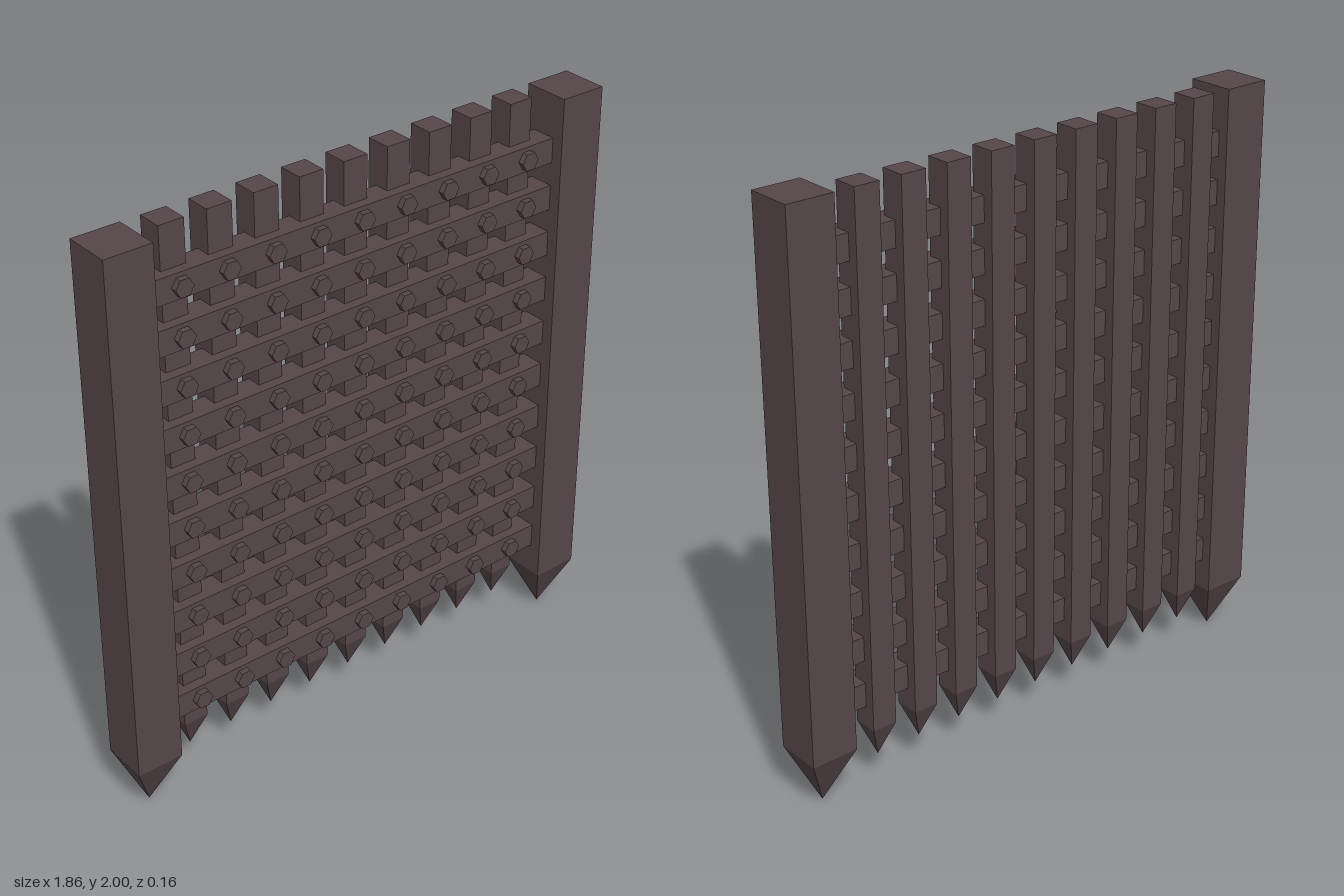
import * as THREE from 'three';

const wood = new THREE.MeshStandardMaterial({ color: 0x564749 });
wood.name = 'dark wood';

// Gives every face its own flat normal
function faceted(geometry) {
  const flat = geometry.toNonIndexed();
  flat.computeVertexNormals();
  return flat;
}

// Square upright with a pyramid point at its lower end
function makeStake(name, width, top, shoulder, tip) {
  const stake = new THREE.Group();
  stake.name = name;
  const shaft = new THREE.Mesh(new THREE.BoxGeometry(width, top - shoulder, width), wood);
  shaft.name = name + 'Shaft';
  shaft.position.y = (top + shoulder) / 2;
  const point = new THREE.CylinderGeometry(width / Math.SQRT2, 0, shoulder - tip, 4, 1, true);
  point.rotateY(Math.PI / 4);
  const spike = new THREE.Mesh(faceted(point), wood);
  spike.name = name + 'Point';
  spike.position.y = (shoulder + tip) / 2;
  stake.add(shaft, spike);
  return stake;
}

export function createModel() {
  const gate = new THREE.Group();
  gate.name = 'spikedGate';
  const columns = 9, rows = 10, pitch = 0.1635;

  // Heavy side posts
  for (const side of [-1, 1]) {
    const post = makeStake(side > 0 ? 'leftPost' : 'rightPost', 0.163, 2, 0.19, 0);
    post.position.x = side * 0.846;
    gate.add(post);
  }

  // Upright bars, set towards the back
  for (let i = 0; i < columns; i++) {
    const bar = makeStake('uprightBar', 0.087, 2, 0.226, 0.106);
    bar.position.set((i - (columns - 1) / 2) * pitch, 0, -0.038);
    gate.add(bar);
  }

  // Hexagonal bolt with flat sides above and below
  const boltGeometry = new THREE.CylinderGeometry(0.032, 0.032, 0.03, 6);
  boltGeometry.rotateY(Math.PI / 6).rotateX(Math.PI / 2);
  const bolt = faceted(boltGeometry);

  // Cross rails, bolted to every bar
  for (let j = 0; j < rows; j++) {
    const y = 0.343 + j * pitch;
    const rail = new THREE.Mesh(new THREE.BoxGeometry(1.54, 0.085, 0.086), wood);
    rail.name = 'crossRail';
    rail.position.set(0, y, -0.003);
    gate.add(rail);
    for (let i = 0; i < columns; i++) {
      const head = new THREE.Mesh(bolt, wood);
      head.name = 'bolt';
      head.position.set((i - (columns - 1) / 2) * pitch, y, 0.046);
      gate.add(head);
    }
  }
  return gate;
}
